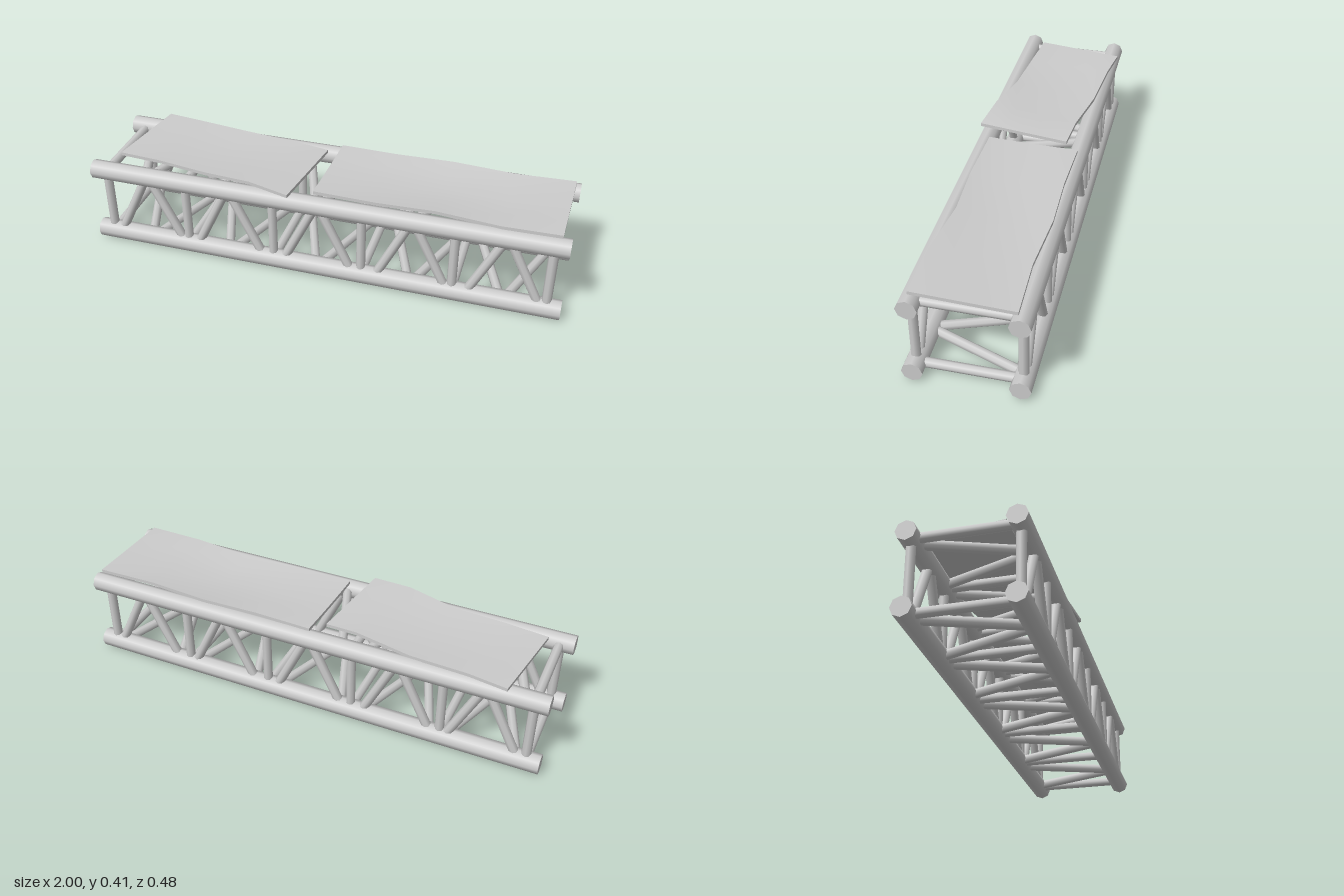
import * as THREE from 'three';

const material = new THREE.MeshStandardMaterial({ color: 0xcccccc });
const LOW = 0.042, HIGH = 0.343, FRONT = 0.197, BACK = -0.203;

// Round bar between two points
function bar(name, a, b, radius) {
  const from = new THREE.Vector3(...a), to = new THREE.Vector3(...b);
  const axis = to.clone().sub(from);
  const mesh = new THREE.Mesh(new THREE.CylinderGeometry(radius, radius, axis.length(), 8), material);
  mesh.position.copy(from).add(to).multiplyScalar(0.5);
  mesh.quaternion.setFromUnitVectors(new THREE.Vector3(0, 1, 0), axis.normalize());
  mesh.name = name;
  return mesh;
}

// Value of an evenly spaced list at t from 0 to 1
function sample(list, t) {
  const f = t * (list.length - 1), i = Math.min(Math.floor(f), list.length - 2);
  return THREE.MathUtils.lerp(list[i], list[i + 1], f - i);
}

// Warped sheet spanning a back and a front edge, each a row of [x, topY, z]
function panel(name, back, front, sag) {
  const thickness = 0.014;
  const geometry = new THREE.BoxGeometry(1, 1, 1, 4, 1, 4);
  const p = geometry.attributes.position;
  for (let i = 0; i < p.count; i++) {
    const u = p.getX(i) + 0.5, v = p.getZ(i) + 0.5;
    const [x, y, z] = [0, 1, 2].map((k) =>
      THREE.MathUtils.lerp(sample(back.map((e) => e[k]), u), sample(front.map((e) => e[k]), u), v));
    const dip = sample(sag, u) * sample([0, 0.8, 1, 0.8, 0], v);
    p.setXYZ(i, x, y - dip + (p.getY(i) - 0.5) * thickness, z);
  }
  geometry.computeVertexNormals();
  const mesh = new THREE.Mesh(geometry, material);
  mesh.name = name;
  return mesh;
}

export function createModel() {
  const group = new THREE.Group();
  group.name = 'trussBridge';

  // Four long chords
  for (const y of [LOW, HIGH])
    for (const z of [FRONT, BACK]) group.add(bar('chord', [-1, y, z], [1, y, z], 0.0405));

  // Straight struts: uprights on both sides, cross bars above and below
  const stations = [-0.94, -0.585, -0.2, 0.18, 0.56, 0.94];
  for (const x of stations) {
    for (const z of [FRONT, BACK]) group.add(bar('upright', [x, LOW, z], [x, HIGH, z], 0.0195));
    for (const y of [LOW, HIGH]) group.add(bar('crossBar', [x, y, BACK], [x, y, FRONT], 0.0195));
  }

  // Paired diagonals meeting in the middle of every bay
  for (const x of [-0.755, -0.395, -0.008, 0.388, 0.765]) {
    for (const side of [-1, 1]) {
      const foot = x + side * 0.15, tip = x + side * 0.004;
      for (const z of [FRONT, BACK])
        group.add(bar('sideDiagonal', [foot, LOW, z], [tip, HIGH, z], 0.0195));
      for (const y of [LOW, HIGH])
        group.add(bar('flatDiagonal', [foot, y, BACK], [tip, y, FRONT], 0.0195));
    }
  }

  // Two bent deck sheets lying loosely on top
  group.add(panel('skewedDeckPanel',
    [[-0.84, 0.4, -0.242], [-0.68, 0.402, -0.22], [-0.44, 0.395, -0.2], [-0.2, 0.404, -0.16], [-0.065, 0.396, -0.148]],
    [[-0.9, 0.4, 0.13], [-0.715, 0.403, 0.147], [-0.5, 0.396, 0.17], [-0.29, 0.414, 0.21], [-0.12, 0.398, 0.237]],
    [0, 0.006, 0.01, 0.006, 0]));
  group.add(panel('straightDeckPanel',
    [[-0.015, 0.396, -0.205], [0.23, 0.397, -0.198], [0.47, 0.398, -0.205], [0.73, 0.398, -0.186], [0.98, 0.401, -0.195]],
    [[-0.03, 0.395, 0.175], [0.235, 0.395, 0.182], [0.47, 0.395, 0.172], [0.73, 0.396, 0.2], [0.965, 0.4, 0.2]],
    [0.003, 0.013, 0.02, 0.01, 0]));

  return group;
}
